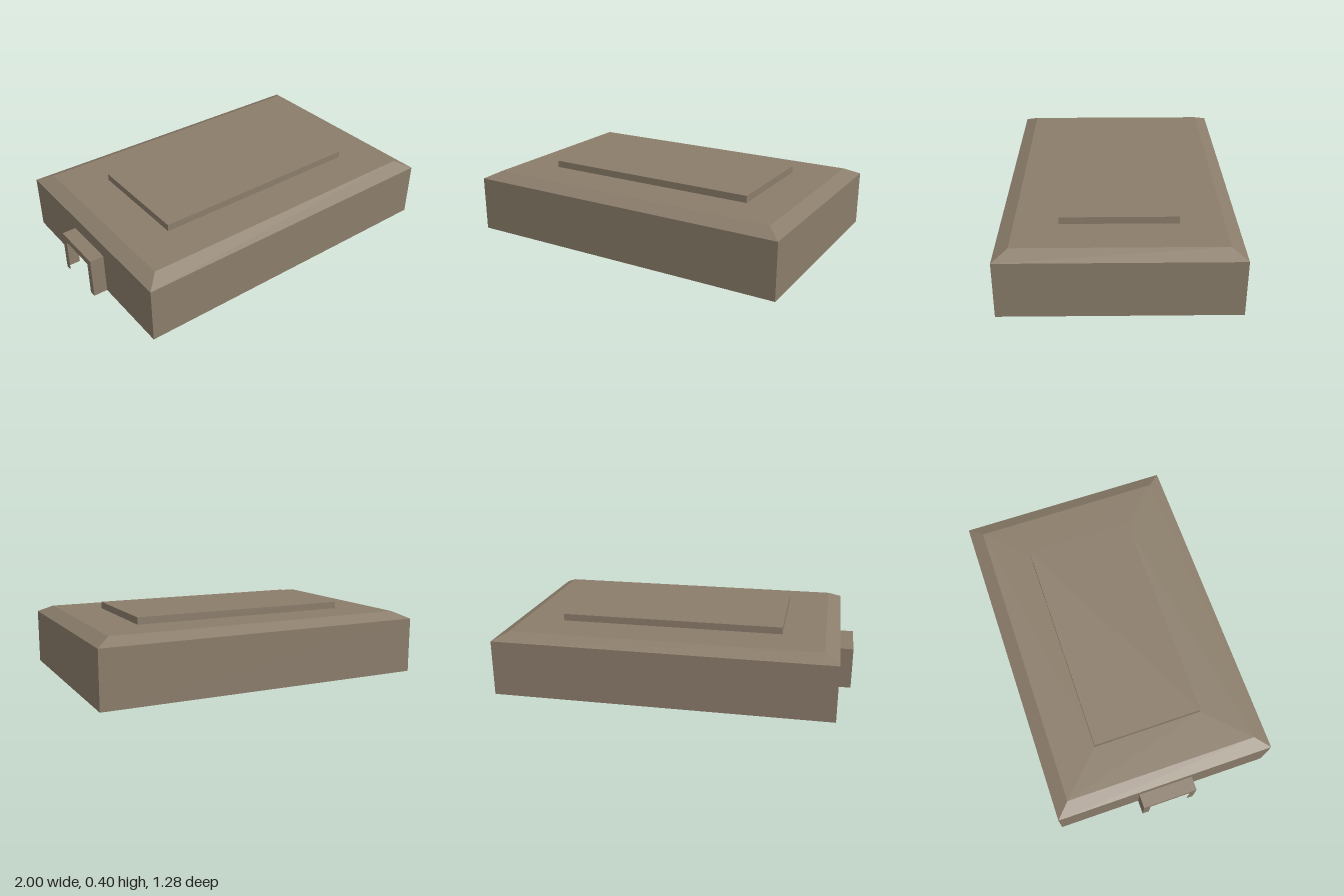
import * as THREE from 'three';

// Flat-faced surface from a list of four-cornered faces (counter-clockwise seen from outside)
function quadSurface(quads) {
  const points = [];
  for (const [a, b, c, d] of quads) points.push(...a, ...b, ...c, ...a, ...c, ...d);
  const geometry = new THREE.BufferGeometry();
  geometry.setAttribute('position', new THREE.Float32BufferAttribute(points, 3));
  geometry.computeVertexNormals();
  return geometry;
}

// Corners of a rectangle at height y, running counter-clockwise seen from above
const ring = ([hx, hz, y]) => [[-hx, y, hz], [hx, y, hz], [hx, y, -hz], [-hx, y, -hz]];

// Faces joining a lower rectangle to an upper one; sides are front, left, back, right
function band(lower, upper, sides = [0, 1, 2, 3]) {
  const a = ring(lower), b = ring(upper);
  return sides.map((i) => [a[i], a[(i + 1) % 4], b[(i + 1) % 4], b[i]]);
}

// Arch-shaped upright sheet facing -x: a rectangle with a doorway cut from its foot
function archSheet(halfWidth, height, halfDoor, doorHeight) {
  const outline = [
    [-halfWidth, 0], [-halfDoor, 0], [-halfDoor, doorHeight], [halfDoor, doorHeight],
    [halfDoor, 0], [halfWidth, 0], [halfWidth, height], [-halfWidth, height],
  ].map(([x, y]) => new THREE.Vector2(x, y));
  return new THREE.ShapeGeometry(new THREE.Shape(outline)).rotateY(-Math.PI / 2);
}

export function createModel() {
  const model = new THREE.Group();
  model.name = 'building';
  const clay = new THREE.MeshStandardMaterial({ color: 0x8b7d6b, side: THREE.DoubleSide });
  clay.name = 'clay brown';

  const add = (name, geometry, parent) => {
    const mesh = new THREE.Mesh(geometry, clay);
    mesh.name = name;
    parent.add(mesh);
    return mesh;
  };

  // Hollow hall, open underneath: [half length, half depth, height] of each level
  const foot = [0.96, 0.64, 0];
  const eaves = [0.96, 0.64, 0.32];
  const roofEdge = [0.88, 0.56, 0.36];
  const platformFoot = [0.64, 0.32, 0.36];
  const platformTop = [0.64, 0.32, 0.4];

  const hall = new THREE.Group();
  hall.name = 'hall';
  hall.position.x = 0.04;
  model.add(hall);

  add('walls', quadSurface(band(foot, eaves, [0, 1, 2])), hall);
  add('doorWall', archSheet(0.64, 0.32, 0.16, 0.24), hall).position.x = -0.96;
  add('slopedEaves', quadSurface(band(eaves, roofEdge)), hall);
  add('roof', quadSurface(band(roofEdge, platformFoot)), hall);
  add('raisedPlatform', quadSurface([...band(platformFoot, platformTop), ring(platformTop)]), hall);

  // Thin porch around the doorway
  const porch = new THREE.Group();
  porch.name = 'porch';
  porch.position.x = -0.96;
  model.add(porch);

  const low = [0.04, 0.16, 0];
  const high = [0.04, 0.16, 0.24];
  add('porchSides', quadSurface(band(low, high, [0, 2])), porch);
  add('porchRoof', quadSurface([ring(high)]), porch);
  add('porchFrame', archSheet(0.16, 0.24, 0.12, 0.2), porch).position.x = -0.04;

  return model;
}
